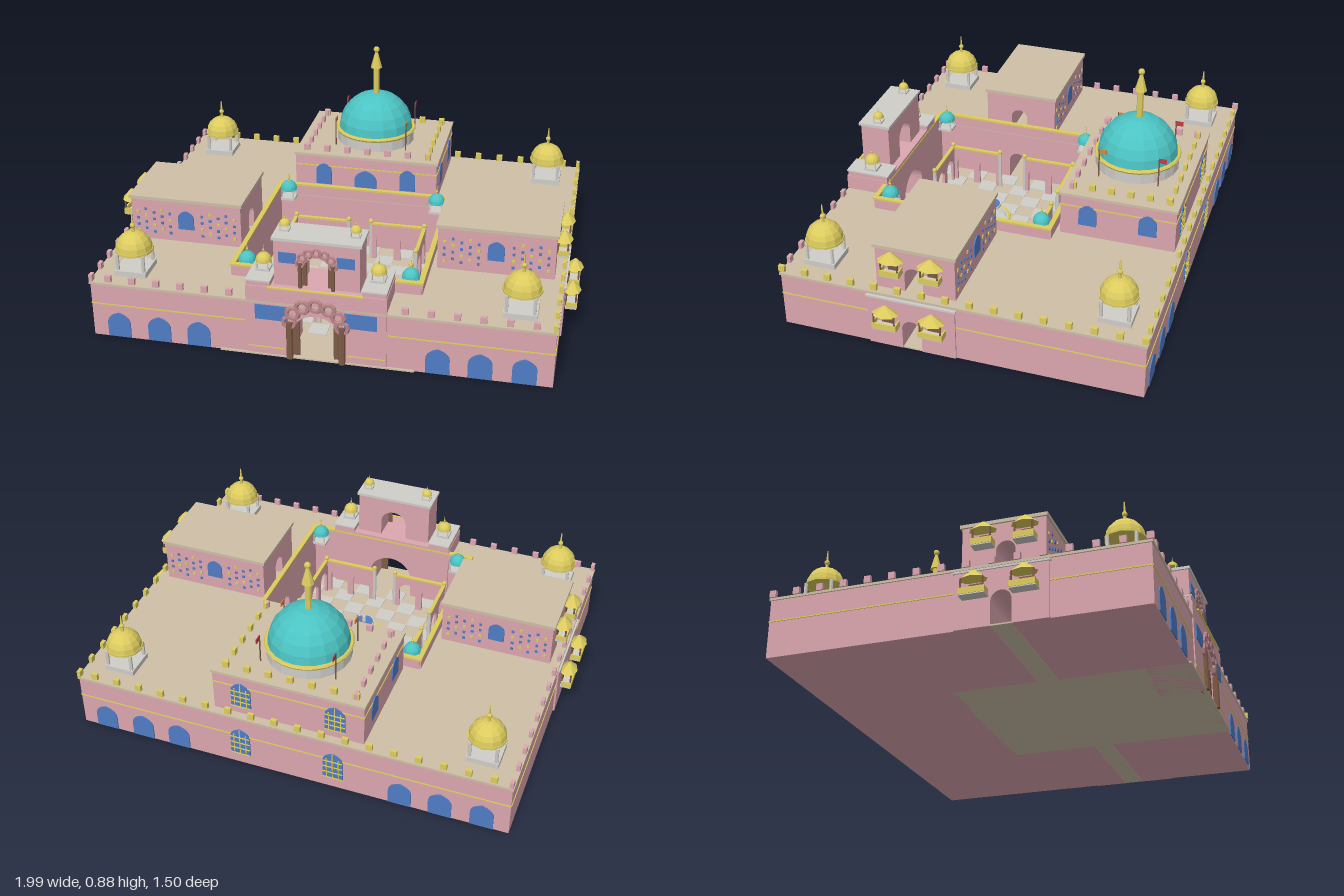
import * as THREE from 'three';

const PINK = 0xdba6ae, TAN = 0xcdbea6, GOLD = 0xdccb5e, TEAL = 0x4cc3c3, BLUE = 0x4f7dc4,
  STONE = 0xcfcdc8, BROWN = 0x7d5a45, ROSE = 0xb98488;
const mats = {};
const mat = (c) => (mats[c] ??= new THREE.MeshStandardMaterial({ color: c, flatShading: true }));

function put(parent, name, geo, color, x = 0, y = 0, z = 0) {
  const m = new THREE.Mesh(geo, mat(color));
  m.name = name;
  m.position.set(x, y, z);
  parent.add(m);
  return m;
}
// box and cylinder stand on y
const box = (p, name, c, w, h, d, x, y, z) => put(p, name, new THREE.BoxGeometry(w, h, d), c, x, y + h / 2, z);
const cyl = (p, name, c, r0, r1, h, x, y, z, n = 8) =>
  put(p, name, new THREE.CylinderGeometry(r1, r0, h, n), c, x, y + h / 2, z);
const ball = (p, name, c, r, x, y, z) => put(p, name, new THREE.SphereGeometry(r, 8, 6), c, x, y, z);
const group = (p, name, x = 0, y = 0, z = 0) => {
  const g = new THREE.Group();
  g.name = name;
  g.position.set(x, y, z);
  p.add(g);
  return g;
};
const extrude = (s, depth) => new THREE.ExtrudeGeometry(s, { depth, bevelEnabled: false, curveSegments: 8 });

// wall from u0 to u1 with arched doorways [centre, width, height] cut from its foot
function archWall(u0, u1, y0, y1, doors, depth) {
  const s = new THREE.Shape().moveTo(u0, y0);
  for (const [c, w, h] of doors) {
    const r = w / 2, ys = y0 + h - r;
    s.lineTo(c - r, y0).lineTo(c - r, ys).absarc(c, ys, r, Math.PI, 0, true).lineTo(c + r, y0);
  }
  s.lineTo(u1, y0).lineTo(u1, y1).lineTo(u0, y1);
  return extrude(s, depth);
}
// same wall running along z, spanning x from x1 - depth to x1
const archWallZ = (...a) => archWall(...a).rotateY(-Math.PI / 2);

// pointed window panel facing +z before turning, with optional grille
function archWindow(p, w, h, x, y, z, turn = 0, grille = false) {
  const g = group(p, 'archWindow', x, y, z), r = w / 2;
  g.rotation.y = turn;
  const s = new THREE.Shape().moveTo(-r, 0).lineTo(r, 0).lineTo(r, h - r);
  s.quadraticCurveTo(r, h - r * 0.3, 0, h).quadraticCurveTo(-r, h - r * 0.3, -r, h - r);
  put(g, 'windowPanel', extrude(s, 0.008), BLUE, 0, 0, -0.004);
  if (!grille) return;
  for (const i of [-1, 0, 1]) box(g, 'grilleBar', GOLD, 0.004, h - (i ? r * 0.6 : 0), 0.004, i * r * 0.6, 0, 0.005);
  for (let i = 0; i < 4; i++) box(g, 'grilleRail', GOLD, w, 0.004, 0.004, 0, i * (h - r) / 3, 0.005);
}

// domed kiosk on four posts
function kiosk(p, name, color, r, postH, x, y, z) {
  const g = group(p, name, x, y, z), a = r * 0.72;
  box(g, 'kioskBase', STONE, r * 1.75, r * 0.3, r * 1.75, 0, 0, 0);
  for (const sx of [-1, 1]) for (const sz of [-1, 1])
    cyl(g, 'kioskPost', STONE, r * 0.1, r * 0.1, postH, sx * a, r * 0.3, sz * a, 6);
  const top = r * 0.3 + postH;
  cyl(g, 'eave', color, r * 1.04, r * 1.04, r * 0.12, 0, top, 0, 12);
  put(g, 'kioskDome', new THREE.SphereGeometry(r, 12, 5, 0, Math.PI * 2, 0, Math.PI / 2), color, 0, top + r * 0.1, 0);
  cyl(g, 'finial', GOLD, r * 0.1, r * 0.03, r * 1.1, 0, top + r * 1.05, 0, 6);
  ball(g, 'finialBall', GOLD, r * 0.15, 0, top + r * 1.45, 0);
}

// row of merlons from a to b
function merlons(p, c, ax, az, bx, bz, y, n, skip = () => false) {
  for (let i = 0; i <= n; i++) {
    const x = ax + (bx - ax) * i / n, z = az + (bz - az) * i / n;
    if (!skip(x)) box(p, 'merlon', c, ax === bx ? 0.015 : 0.026, 0.028, ax === bx ? 0.026 : 0.015, x, y, z);
  }
}

// hanging balcony with a peaked roof, on the side facing s
function balcony(p, s, x, y, z, w) {
  const g = group(p, 'balcony', x, y, z);
  box(g, 'balconyFloor', STONE, 0.045, 0.008, w, 0, 0, 0);
  box(g, 'balconyParapet', GOLD, 0.008, 0.025, w, s * 0.02, 0.004, 0);
  for (const k of [-1, 1]) {
    box(g, 'balconySide', GOLD, 0.04, 0.025, 0.006, 0, 0.004, k * (w / 2 - 0.003));
    cyl(g, 'balconyPost', BROWN, 0.004, 0.004, 0.06, s * 0.018, 0.008, k * w * 0.42, 6);
  }
  cyl(g, 'balconyRoof', GOLD, 0.054, 0.008, 0.036, 0, 0.066, 0, 8).scale.x = 0.68;
  box(g, 'balconyDoor', BROWN, 0.006, 0.05, w * 0.5, -s * 0.022, 0.008, 0);
}

// portal with columns and a crown of rings
function ringedArch(p, y, half, h, ringR, z) {
  const g = group(p, 'ringedArch', 0, y, z);
  for (const s of [-1, 1]) {
    cyl(g, 'portalColumn', BROWN, half * 0.13, half * 0.13, h, s * half, 0, 0, 8);
    box(g, 'openDoor', BROWN, half * 0.3, h * 0.95, 0.008, s * half * 0.8, 0, -0.02);
  }
  for (let i = 0; i < 7; i++) {
    const a = Math.PI * i / 6;
    put(g, 'archRing', new THREE.TorusGeometry(ringR, ringR * 0.4, 6, 10), ROSE,
      Math.cos(a) * half, h + Math.sin(a) * half * 0.8, 0);
  }
}

export function createModel() {
  const root = new THREE.Group();
  root.name = 'palace';

  // main body around the courtyard, with passages through front and sides
  const body = group(root, 'mainBody');
  for (const s of [-1, 1])
    put(body, 'sideWing', archWallZ(-0.745, 0.73, 0, 0.236, [[0.18, 0.08, 0.135]], 0.54), PINK, s > 0 ? 0.925 : -0.385);
  box(body, 'rearWing', PINK, 0.77, 0.236, 0.535, 0, 0, -0.4775);
  put(body, 'frontWing', archWall(-0.385, 0.385, 0, 0.236, [[0, 0.2, 0.2]], 0.17), PINK, 0, 0, 0.56);
  const roof = new THREE.Shape().moveTo(-0.93, -0.735).lineTo(0.93, -0.735).lineTo(0.93, 0.75).lineTo(-0.93, 0.75);
  roof.holes.push(new THREE.Path().moveTo(-0.385, -0.56).lineTo(-0.385, 0.21).lineTo(0.385, 0.21).lineTo(0.385, -0.56));
  put(body, 'roofTerrace', extrude(roof, 0.01).rotateX(-Math.PI / 2), TAN, 0, 0.235, 0);
  for (const s of [-1, 1]) {
    box(body, 'sideBand', GOLD, 0.004, 0.005, 1.475, s * 0.926, 0.145, -0.0075);
    box(body, 'frontBand', GOLD, 0.64, 0.005, 0.004, s * 0.605, 0.145, 0.731);
    for (const x of [0.48, 0.645, 0.815]) {
      archWindow(body, 0.095, 0.11, s * x, 0.003, 0.731);
      archWindow(body, 0.095, 0.11, s * x, 0.003, -0.746, Math.PI);
    }
    archWindow(body, 0.085, 0.13, s * 0.2, 0.05, -0.746, Math.PI, true);
    put(body, 'sidePortal', archWallZ(0, 0.36, 0, 0.222, [[0.18, 0.08, 0.135]], 0.012), PINK, s > 0 ? 0.932 : -0.92);
    box(body, 'sidePortalCornice', STONE, 0.018, 0.008, 0.37, s * 0.928, 0.222, 0.18);
    for (const z of [0.085, 0.275]) balcony(body, s, s * 0.96, 0.11, z, 0.1);
    for (const z of [-0.6, 0.6]) kiosk(body, 'cornerKiosk', GOLD, 0.075, 0.07, s * 0.78, 0.245, z);
    merlons(body, s > 0 ? GOLD : PINK, s * 0.92, -0.74, s * 0.92, 0.725, 0.25, 15);
  }
  box(body, 'rearBand', GOLD, 1.85, 0.005, 0.004, 0, 0.145, -0.746);
  merlons(body, GOLD, -0.85, -0.74, 0.85, -0.74, 0.25, 17);
  merlons(body, PINK, -0.85, 0.725, 0.85, 0.725, 0.25, 17, (x) => Math.abs(x) < 0.29);

  // courtyard: chequered floor, parapet, arcades, fountain
  const court = group(root, 'courtyard');
  box(court, 'groundSlab', TAN, 0.78, 0.006, 0.96, 0, 0, 0.26);
  box(court, 'crossPath', TAN, 1.86, 0.006, 0.078, 0, 0, 0.18);
  for (let i = 0; i < 10; i++) for (let j = 0; j < 10; j++)
    if ((i + j) % 2) box(court, 'paleTile', STONE, 0.077, 0.004, 0.077, -0.3465 + i * 0.077, 0.005, -0.1715 + j * 0.077);
  for (const s of [-1, 1]) {
    box(court, 'parapet', PINK, 0.014, 0.045, 0.77, s * 0.383, 0.245, 0.175);
    box(court, 'parapetCap', GOLD, 0.02, 0.008, 0.785, s * 0.383, 0.29, 0.175);
    const ez = 0.175 + s * 0.383;
    box(court, 'parapet', PINK, 0.77, 0.045, 0.014, 0, 0.245, ez);
    box(court, 'parapetCap', GOLD, 0.785, 0.008, 0.02, 0, 0.29, ez);
    for (const z of [-0.16, 0.51]) kiosk(court, 'courtKiosk', TEAL, 0.036, 0.035, s * 0.335, 0.245, z);
    for (const t of [-1, 1]) {
      // arcade along the side
      const z0 = t > 0 ? 0.235 : -0.115, z1 = t > 0 ? 0.465 : 0.115, zm = (z0 + z1) / 2;
      put(court, 'sideArcade', archWallZ(z0, z1, 0.006, 0.175, [[zm - 0.055, 0.08, 0.13], [zm + 0.055, 0.08, 0.13]], 0.012),
        PINK, s * 0.29 + 0.006);
      box(court, 'arcadeCap', GOLD, 0.016, 0.008, z1 - z0, s * 0.29, 0.175, zm);
      // arcade along the end
      const zz = t > 0 ? 0.465 : -0.115, xm = s * 0.17;
      put(court, 'endArcade', archWall(xm - 0.12, xm + 0.12, 0.006, 0.175, [[xm - 0.055, 0.08, 0.13], [xm + 0.055, 0.08, 0.13]], 0.012),
        PINK, 0, 0, zz - 0.006);
      box(court, 'arcadeCap', GOLD, 0.24, 0.008, 0.016, xm, 0.175, zz);
      for (const [x, z] of [[s * 0.29, z0], [s * 0.29, z1], [s * 0.05, zz]]) {
        cyl(court, 'arcadeColumn', STONE, 0.009, 0.009, 0.18, x, 0.005, z);
        ball(court, 'columnBall', GOLD, 0.011, x, 0.19, z);
      }
    }
  }
  const pts = [[0, 0], [0.08, 0], [0.08, 0.03], [0.07, 0.03], [0.066, 0.015], [0.014, 0.015], [0.012, 0.07], [0.045, 0.085],
    [0.045, 0.095], [0.01, 0.09], [0.008, 0.125], [0, 0.135]];
  const fountain = group(court, 'fountain', 0, 0.006, 0.18);
  put(fountain, 'fountainBasin', new THREE.LatheGeometry(pts.map(([x, y]) => new THREE.Vector2(x, y)), 16), STONE);
  put(fountain, 'basinRim', new THREE.TorusGeometry(0.082, 0.006, 6, 24).rotateX(Math.PI / 2), GOLD, 0, 0.03, 0);
  cyl(fountain, 'water', BLUE, 0.04, 0.04, 0.003, 0, 0.094, 0, 16);

  // front gatehouse
  const gate = group(root, 'gatehouse');
  put(gate, 'gateBlock', archWall(-0.28, 0.28, 0, 0.31, [[0, 0.2, 0.2]], 0.185), PINK, 0, 0, 0.55);
  put(gate, 'galleryTower', archWall(-0.17, 0.17, 0.31, 0.505, [[0, 0.12, 0.13]], 0.125), PINK, 0, 0, 0.58);
  box(gate, 'towerRoof', STONE, 0.355, 0.012, 0.14, 0, 0.505, 0.6425);
  box(gate, 'galleryLedge', GOLD, 0.38, 0.006, 0.01, 0, 0.308, 0.737);
  for (const s of [-1, 1]) {
    box(gate, 'sideTerrace', PINK, 0.095, 0.02, 0.18, s * 0.23, 0.31, 0.64);
    box(gate, 'terraceTop', STONE, 0.1, 0.006, 0.19, s * 0.23, 0.33, 0.64);
    kiosk(gate, 'terraceKiosk', GOLD, 0.032, 0.025, s * 0.23, 0.336, 0.635);
    kiosk(gate, 'roofKiosk', GOLD, 0.022, 0.016, s * 0.14, 0.517, 0.635);
    box(gate, 'bluePanel', BLUE, 0.13, 0.065, 0.006, s * 0.178, 0.165, 0.736);
    box(gate, 'upperBluePanel', BLUE, 0.07, 0.045, 0.006, s * 0.115, 0.41, 0.706);
    box(gate, 'gateBand', GOLD, 0.15, 0.004, 0.004, s * 0.2, 0.035, 0.736);
  }
  ringedArch(gate, 0, 0.105, 0.165, 0.024, 0.738);
  ringedArch(gate, 0.31, 0.065, 0.105, 0.015, 0.71);

  // side pavilions with studded walls
  for (const s of [-1, 1]) {
    const pav = group(root, 'sidePavilion', s * 0.65, 0, 0);
    put(pav, 'pavilionWalls', archWallZ(0.01, 0.335, 0.24, 0.43, [[0.18, 0.075, 0.115]], 0.475), PINK, 0.2375);
    box(pav, 'pavilionRoof', TAN, 0.49, 0.014, 0.34, 0, 0.43, 0.1725);
    for (const [z, t] of [[0.336, 0], [0.009, Math.PI]]) {
      archWindow(pav, 0.068, 0.085, 0, 0.305, z, t);
      for (let i = 0; i < 13; i++) for (let j = 0; j < 4; j++) {
        const x = -0.21 + i * 0.035;
        if (Math.abs(x) > 0.045)
          box(pav, 'wallStud', (i + j) % 3 ? BLUE : GOLD, 0.011, 0.011, 0.006, x, 0.275 + j * 0.03 + (i % 2) * 0.014, z);
      }
    }
    for (const z of [0.1, 0.262]) balcony(pav, s, s * 0.262, 0.33, z, 0.08);
  }

  // rear hall and great dome
  const hall = group(root, 'rearHall', 0, 0, -0.475);
  put(hall, 'hallWalls', archWall(-0.32, 0.32, 0.24, 0.43, [], 0.48), PINK, 0, 0, -0.24);
  box(hall, 'hallRoof', TAN, 0.65, 0.012, 0.49, 0, 0.428, 0);
  box(hall, 'hallBand', GOLD, 0.646, 0.005, 0.486, 0, 0.38, 0);
  archWindow(hall, 0.1, 0.13, 0, 0.245, 0.241);
  for (const s of [-1, 1]) {
    archWindow(hall, 0.07, 0.1, s * 0.19, 0.295, 0.241);
    archWindow(hall, 0.085, 0.12, s * 0.2, 0.28, -0.241, Math.PI, true);
    for (const z of [-0.125, 0.125]) {
      archWindow(hall, 0.075, 0.095, s * 0.321, 0.3, z, s * Math.PI / 2);
      cyl(hall, 'flagPole', BROWN, 0.003, 0.003, 0.13, s * 0.16, 0.44, z, 6);
      box(hall, 'flag', z > 0 ? 0xd08a3c : 0xc0394a, 0.004, 0.02, 0.03, s * 0.16, 0.55, z - 0.016);
    }
    merlons(hall, s > 0 ? GOLD : PINK, s * 0.275, -0.2, s * 0.275, 0.2, 0.44, 5);
    merlons(hall, s > 0 ? PINK : GOLD, -0.275, s * 0.205, 0.275, s * 0.205, 0.44, 6);
  }
  cyl(hall, 'drum', STONE, 0.175, 0.175, 0.055, 0, 0.44, 0, 20);
  put(hall, 'drumRing', new THREE.TorusGeometry(0.173, 0.009, 6, 24).rotateX(Math.PI / 2), GOLD, 0, 0.494, 0);
  put(hall, 'greatDome', new THREE.SphereGeometry(0.168, 16, 6, 0, Math.PI * 2, 0, Math.PI / 2), TEAL, 0, 0.494, 0);
  cyl(hall, 'spireShaft', GOLD, 0.014, 0.014, 0.13, 0, 0.65, 0);
  cyl(hall, 'spirePoint', GOLD, 0.026, 0.006, 0.075, 0, 0.78, 0);
  ball(hall, 'spireBall', GOLD, 0.014, 0, 0.865, 0);
  return root;
}
